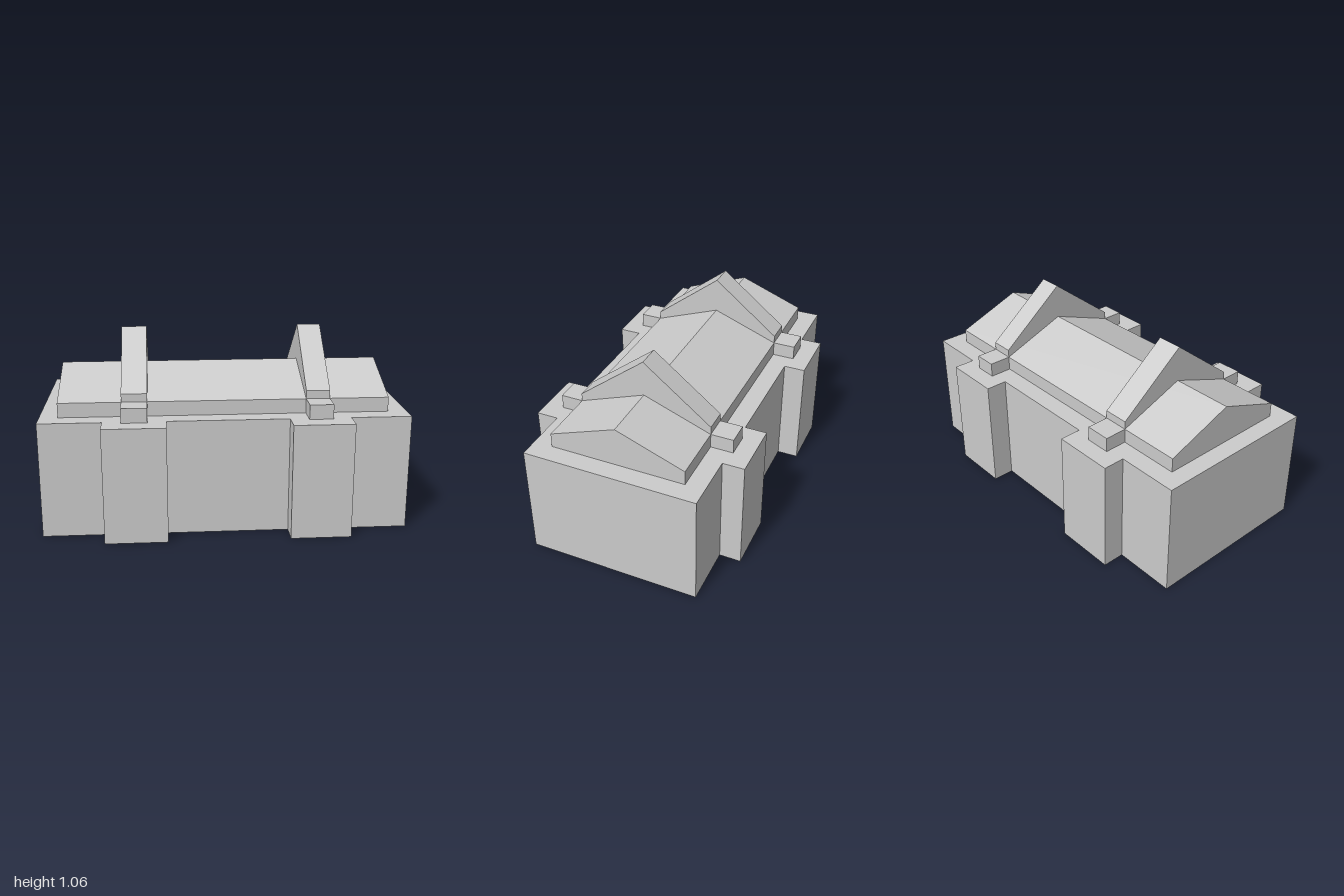
import * as THREE from 'three';

const material = new THREE.MeshStandardMaterial({ color: 0xcccccc, flatShading: true });

function addMesh(parent, name, geometry) {
  const mesh = new THREE.Mesh(geometry, material);
  mesh.name = name;
  parent.add(mesh);
  return mesh;
}

// Box given by its extents along each axis
function addBlock(parent, name, [x0, x1], [y0, y1], [z0, z1]) {
  const mesh = addMesh(parent, name, new THREE.BoxGeometry(x1 - x0, y1 - y0, z1 - z0));
  mesh.position.set((x0 + x1) / 2, (y0 + y1) / 2, (z0 + z1) / 2);
}

// Gabled prism running along x: upright sides up to the eaves, then a ridge
function addGable(parent, name, [x0, x1], base, eaves, ridge, halfDepth) {
  const section = new THREE.Shape([
    new THREE.Vector2(-halfDepth, base),
    new THREE.Vector2(halfDepth, base),
    new THREE.Vector2(halfDepth, eaves),
    new THREE.Vector2(0, ridge),
    new THREE.Vector2(-halfDepth, eaves),
  ]);
  const geometry = new THREE.ExtrudeGeometry(section, { depth: x1 - x0, bevelEnabled: false });
  geometry.rotateY(Math.PI / 2);
  geometry.translate(x0, 0, 0);
  addMesh(parent, name, geometry);
}

export function createModel() {
  const building = new THREE.Group();
  building.name = 'building';
  const wallTop = 0.64;

  // Walls: one outline with two projecting bays on the front and back
  const half = [
    [-1, 0.48], [-0.66, 0.48], [-0.66, 0.6], [-0.32, 0.6], [-0.32, 0.48],
    [0.34, 0.48], [0.34, 0.6], [0.67, 0.6], [0.67, 0.48], [1, 0.48],
  ];
  const outline = [...half, ...half.map(([x, z]) => [x, -z]).reverse()];
  const plan = new THREE.Shape(outline.map(([x, z]) => new THREE.Vector2(x, z)));
  const walls = new THREE.ExtrudeGeometry(plan, { depth: wallTop, bevelEnabled: false });
  walls.rotateX(-Math.PI / 2);
  addMesh(building, 'walls', walls);

  // Main roof
  addGable(building, 'mainRoof', [-0.9, 0.895], wallTop, 0.72, 0.86, 0.375);

  // Raised gable walls crossing the roof, with a block at each foot
  for (const [side, span] of [['right', [-0.56, -0.42]], ['left', [0.44, 0.57]]]) {
    addGable(building, `${side}GableWall`, span, wallTop, 0.765, 1.06, 0.375);
    addBlock(building, `${side}FrontFootBlock`, span, [wallTop, 0.72], [0.37, 0.5]);
    addBlock(building, `${side}BackFootBlock`, span, [wallTop, 0.72], [-0.5, -0.37]);
  }

  return building;
}
